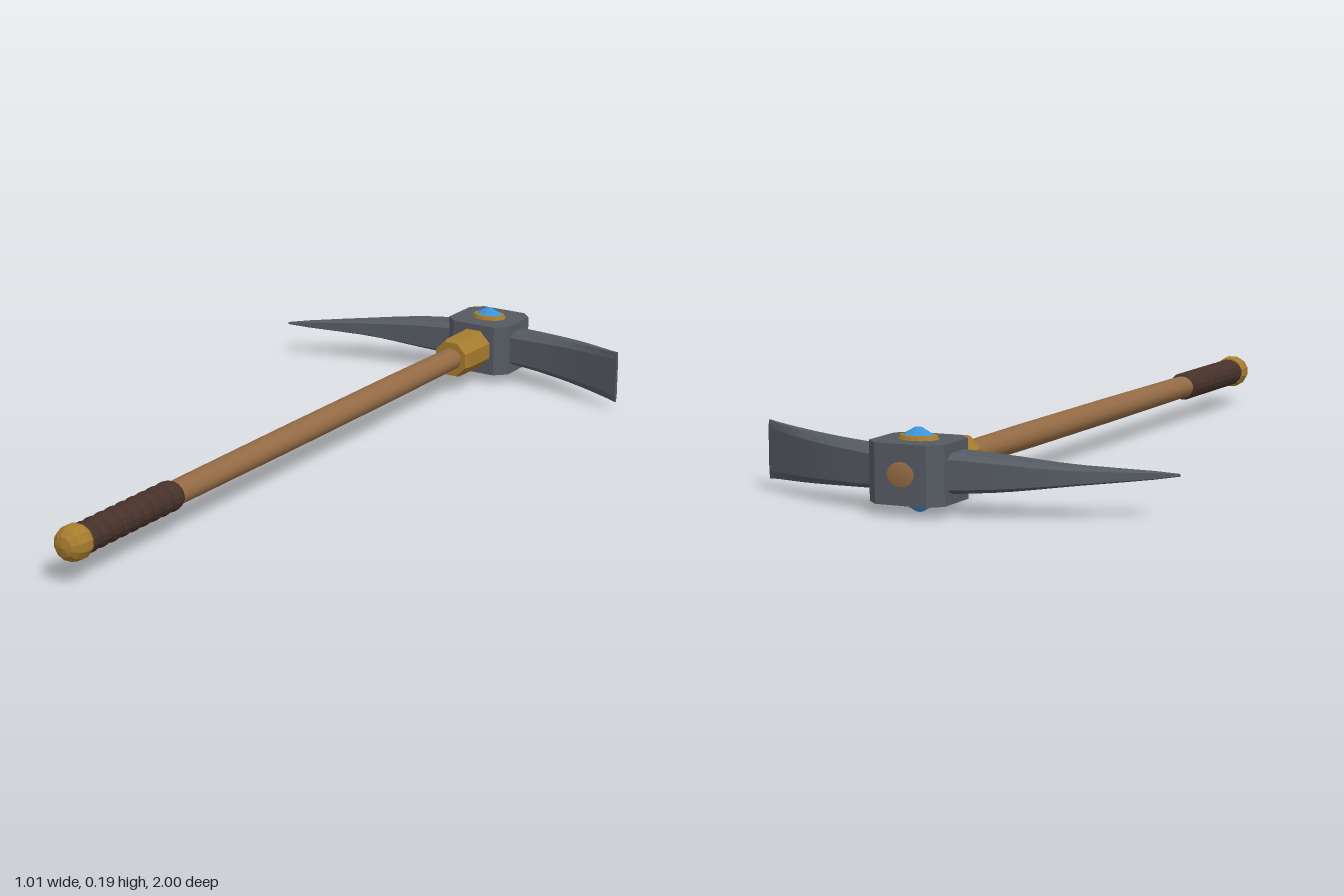
import * as THREE from 'three';

const CX = 0.053, CY = 0.098, HEAD_Z = -0.91;

function mat(color, flatShading = true) {
  return new THREE.MeshStandardMaterial({ color, flatShading });
}

// Lathe around the handle axis; profile points are [radius, z] from back to front.
function turned(name, profile, sides, material, squash = 1) {
  const geo = new THREE.LatheGeometry(profile.map(([r, z]) => new THREE.Vector2(r, z)), sides);
  geo.rotateY(Math.PI / sides);
  geo.rotateX(Math.PI / 2);
  geo.scale(1, squash, 1);
  const mesh = new THREE.Mesh(geo, material);
  mesh.name = name;
  mesh.position.set(CX, CY, 0);
  return mesh;
}

// Curved arm with a bevelled section between an outer and an inner edge curve.
function arm(name, outerPts, innerPts, halfHeight, material) {
  const curve = (pts) => new THREE.SplineCurve(pts.map(([x, z]) => new THREE.Vector2(x, z)));
  const outer = curve(outerPts), inner = curve(innerPts);
  const steps = 10, n = 8, pos = [], index = [];
  for (let i = 0; i <= steps; i++) {
    const t = i / steps;
    const o = outer.getPoint(t), q = inner.getPoint(t), h = halfHeight(t);
    const b = h * 0.74;
    const ring = [[h, 0.25], [h, 0.8], [b, 1], [-b, 1], [-h, 0.8], [-h, 0.25], [-b, 0], [b, 0]];
    for (const [y, f] of ring) {
      pos.push(THREE.MathUtils.lerp(o.x, q.x, f), CY + y, THREE.MathUtils.lerp(o.y, q.y, f));
    }
  }
  const flip = outerPts[0][0] > outerPts[outerPts.length - 1][0];
  const tri = (a, b, c) => (flip ? index.push(a, c, b) : index.push(a, b, c));
  for (let i = 0; i < steps; i++) {
    for (let j = 0; j < n; j++) {
      const a = i * n + j, b = i * n + (j + 1) % n;
      tri(a, b, b + n);
      tri(a, b + n, a + n);
    }
  }
  for (let j = 1; j < n - 1; j++) tri(steps * n, steps * n + j, steps * n + j + 1);
  const geo = new THREE.BufferGeometry();
  geo.setAttribute('position', new THREE.Float32BufferAttribute(pos, 3));
  geo.setIndex(index);
  geo.computeVertexNormals();
  const mesh = new THREE.Mesh(geo, material);
  mesh.name = name;
  return mesh;
}

export function createModel() {
  const group = new THREE.Group();
  const steel = mat(0x555a62), gold = mat(0xa67c2e), gem = mat(0x3a94d8);
  const wood = mat(0x946b45, false), leather = mat(0x47312a);

  // Oval wooden shaft
  group.add(turned('shaft', [[0.033, -0.8], [0.036, -0.4], [0.036, 0.1], [0.034, 0.6]], 20, wood, 0.86));

  // Ribbed grip
  const ribs = 9, grip = [[0, 0.58]];
  for (let i = 0; i < ribs; i++) {
    const z = 0.582 + i * 0.039;
    grip.push([0.036, z], [0.04, z + 0.012], [0.04, z + 0.027]);
  }
  grip.push([0.036, 0.935]);
  group.add(turned('grip', grip, 16, leather, 0.92));

  // Domed pommel
  group.add(turned('pommel', [[0, 0.93], [0.039, 0.93], [0.044, 0.942], [0.044, 0.958],
    [0.038, 0.978], [0.024, 0.991], [0, 0.997]], 12, gold, 0.98));

  // Octagonal collar below the head
  group.add(turned('collar', [[0, -0.83], [0.056, -0.83], [0.054, -0.715], [0.05, -0.7], [0.03, -0.7]], 8, gold));

  // Head block with chamfered corners
  const w = 0.094, d = 0.086, c = 0.03, shape = new THREE.Shape();
  [[w, d - c], [w - c, d], [c - w, d], [-w, d - c], [-w, c - d], [c - w, -d], [w - c, -d], [w, c - d]]
    .forEach(([x, y], i) => (i ? shape.lineTo(x, y) : shape.moveTo(x, y)));
  shape.closePath();
  const blockGeo = new THREE.ExtrudeGeometry(shape, { depth: 0.137, bevelEnabled: false });
  blockGeo.translate(0, 0, -0.0685);
  blockGeo.rotateX(-Math.PI / 2);
  const block = new THREE.Mesh(blockGeo, steel);
  block.name = 'headBlock';
  block.position.set(CX, CY, HEAD_Z);
  group.add(block);

  // Pointed arm and flared flat blade
  group.add(arm('pickPoint',
    [[0, -0.963], [-0.15, -0.932], [-0.29, -0.882], [-0.505, -0.747]],
    [[0, -0.855], [-0.15, -0.84], [-0.29, -0.812], [-0.505, -0.743]],
    (t) => 0.047 * (1 - t) + 0.004 * Math.sin(Math.PI * t) + 0.003, steel));
  group.add(arm('flatBlade',
    [[0.11, -0.963], [0.24, -0.93], [0.37, -0.88], [0.505, -0.808]],
    [[0.11, -0.866], [0.24, -0.857], [0.37, -0.836], [0.505, -0.797]],
    (t) => 0.044 + 0.018 * t + 0.007 * t * t, steel));

  // Oval gem in a gold setting, above and below
  for (const side of [1, -1]) {
    const setting = new THREE.Group();
    setting.name = side > 0 ? 'topGem' : 'bottomGem';
    const ring = new THREE.Mesh(new THREE.CylinderGeometry(0.044, 0.05, 0.012, 16), gold);
    ring.name = 'setting';
    ring.position.y = 0.072;
    const stone = new THREE.Mesh(new THREE.CylinderGeometry(0.008, 0.041, 0.018, 8), gem);
    stone.name = 'stone';
    stone.position.y = 0.086;
    stone.scale.z = 0.85;
    setting.add(ring, stone);
    setting.scale.z = 0.74;
    setting.position.set(CX, CY, HEAD_Z);
    if (side < 0) setting.rotation.x = Math.PI;
    group.add(setting);
  }

  // Shaft end showing through the back of the head
  group.add(turned('shaftEnd', [[0, -1], [0.03, -0.999], [0.036, -0.994], [0.036, -0.97]], 20, wood, 0.86));
  return group;
}
